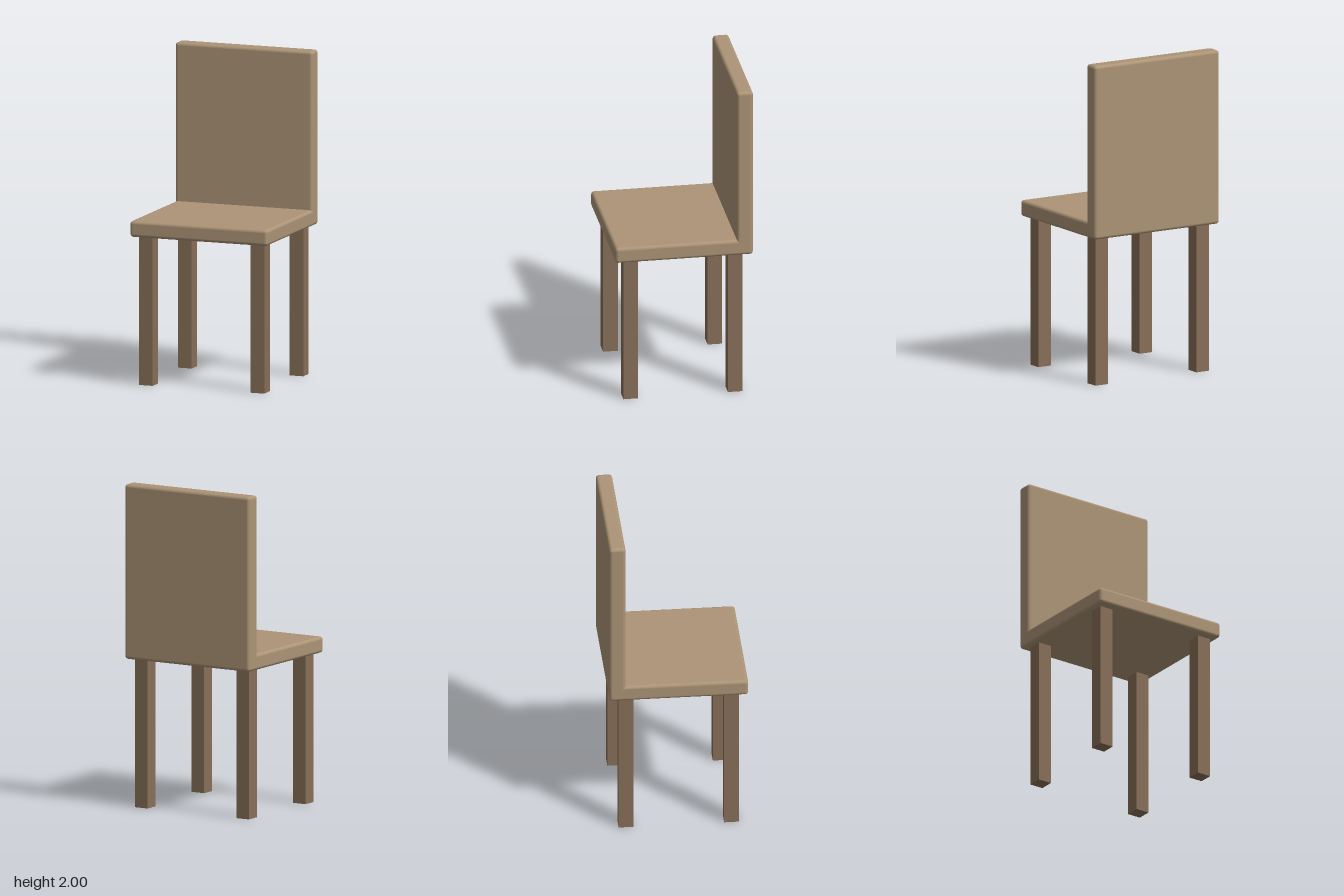
import * as THREE from 'three';
import { RoundedBoxGeometry } from 'three/addons/geometries/RoundedBoxGeometry.js';

export function createModel() {
  const chair = new THREE.Group();
  chair.name = 'chair';
  const lightWood = new THREE.MeshStandardMaterial({ color: 0xac9476 });
  const darkWood = new THREE.MeshStandardMaterial({ color: 0x876f58 });

  const add = (name, geometry, material, x, y, z) => {
    const mesh = new THREE.Mesh(geometry, material);
    mesh.name = name;
    mesh.position.set(x, y, z);
    chair.add(mesh);
  };

  // Seat and backrest: softly rounded slabs sharing the rear lower edge
  const width = 0.9, depth = 0.85, thickness = 0.1, radius = 0.02;
  const seatBottom = 0.92, backHeight = 2 - seatBottom;
  add('seat', new RoundedBoxGeometry(width, thickness, depth, 3, radius), lightWood,
    0, seatBottom + thickness / 2, 0);
  add('backrest', new RoundedBoxGeometry(width, backHeight, thickness, 3, radius), lightWood,
    0, seatBottom + backHeight / 2, -(depth - thickness) / 2);

  // Four square, sharp-edged legs
  const legGeometry = new THREE.BoxGeometry(0.09, seatBottom, 0.09);
  for (const [side, x] of [['Left', 0.365], ['Right', -0.365]]) {
    for (const [end, z] of [['front', 0.325], ['back', -0.32]]) {
      add(`${end}${side}Leg`, legGeometry, darkWood, x, seatBottom / 2, z);
    }
  }
  return chair;
}
